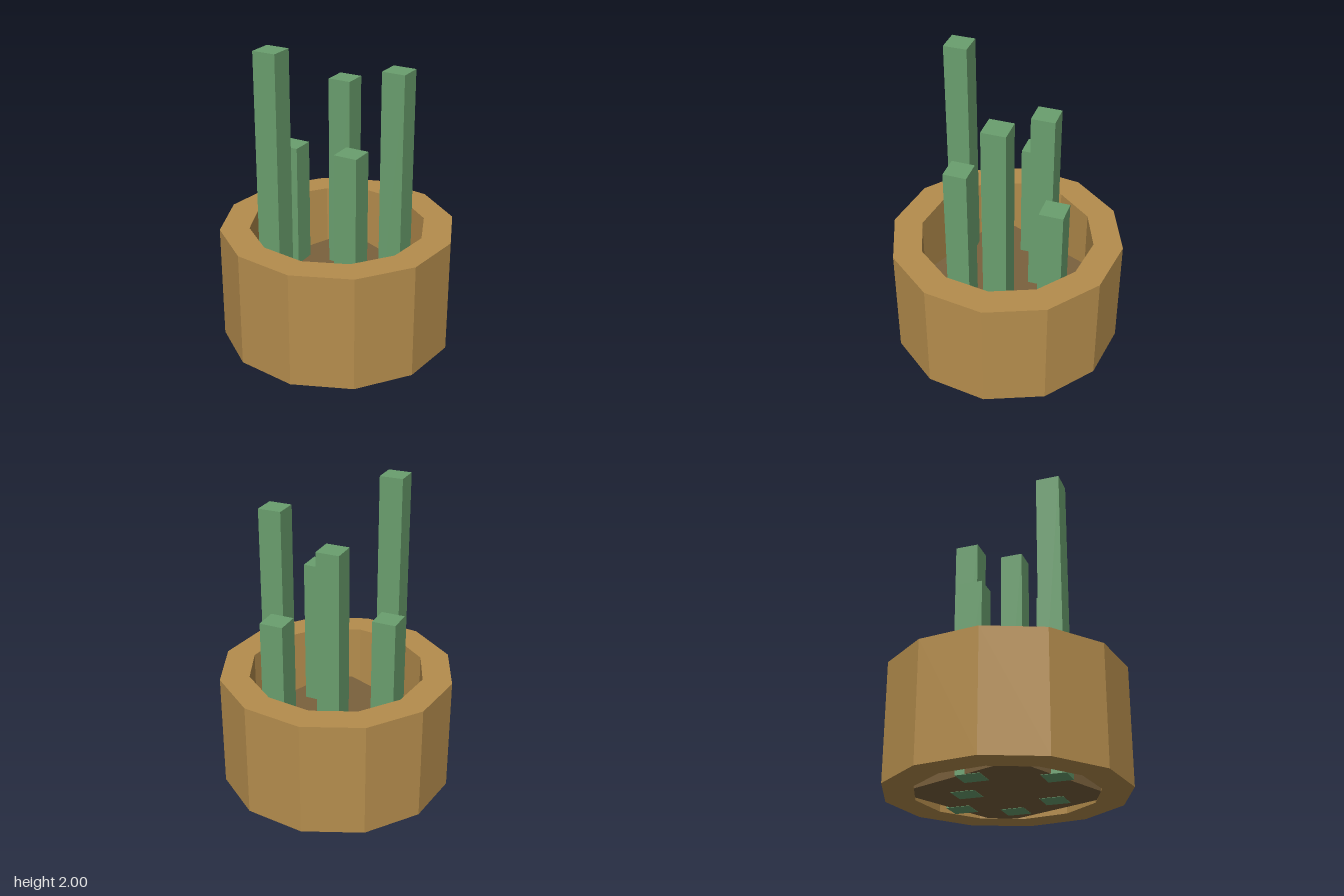
import * as THREE from 'three';

const material = (color) => new THREE.MeshStandardMaterial({ color, flatShading: true });

export function createModel() {
  const model = new THREE.Group();
  model.name = 'pottedStalks';
  const U = 2 / 13; // base unit

  const add = (name, geometry, mat, x, y, z) => {
    const mesh = new THREE.Mesh(geometry, mat);
    mesh.name = name;
    mesh.position.set(x, y, z);
    model.add(mesh);
    return mesh;
  };

  // Twelve-sided open ring with thick walls
  const profile = [[3.75, 0], [5, 0], [5, 5], [3.75, 5], [3.75, 0]]
    .map(([r, y]) => new THREE.Vector2(r * U, y * U));
  add('pot', new THREE.LatheGeometry(profile, 12), material(0xb58d4d), 0, 0, 0);

  // Square block of soil whose corners sink into the pot wall
  const soilHeight = 2.5 * U;
  add('soil', new THREE.BoxGeometry(6 * U, soilHeight, 6 * U), material(0x7a613d),
    0, soilHeight / 2 + 0.002, 0);

  // Square stalks: x, z, height in units
  const green = material(0x6a9f6e);
  const stalks = [
    [-0.445, -0.065, 13],
    [-0.127, 0.3, 9],
    [-0.077, -0.385, 8],
    [0.182, -0.16, 11],
    [0.217, 0.325, 12],
    [0.443, 0.065, 8],
  ];
  stalks.forEach(([x, z, h], i) => {
    const stalk = add(`stalk${i + 1}`, new THREE.BoxGeometry(U, h * U, U), green, x, h * U / 2, z);
    stalk.rotation.y = Math.PI / 8;
  });

  return model;
}
